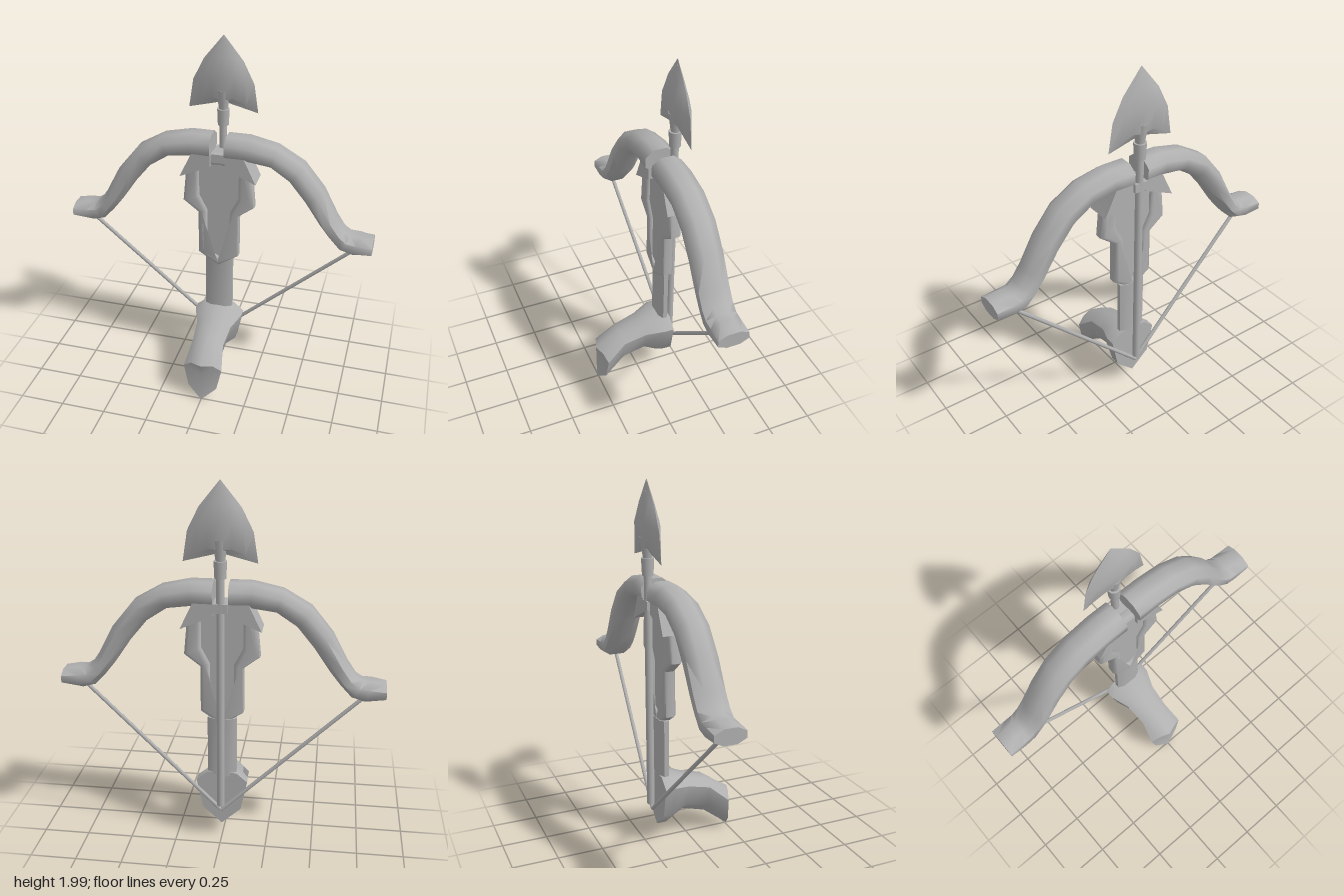
import * as THREE from 'three';
import { toCreasedNormals } from 'three/addons/utils/BufferGeometryUtils.js';

const grey = new THREE.MeshStandardMaterial({ color: 0xb0b0b0 });
grey.name = 'grey';

// Skin a series of equal-length rings, cap both ends, and face the result outward.
function loft(rings, crease) {
  const tris = [];
  const n = rings[0].length;
  for (let i = 0; i < rings.length - 1; i++) {
    for (let j = 0; j < n; j++) {
      const k = (j + 1) % n, a = rings[i], b = rings[i + 1];
      tris.push([a[j], a[k], b[k]], [a[j], b[k], b[j]]);
    }
  }
  [rings[0], rings[rings.length - 1]].forEach((r, end) => {
    const c = [0, 1, 2].map(d => r.reduce((s, p) => s + p[d], 0) / n);
    for (let j = 0; j < n; j++) {
      const k = (j + 1) % n;
      tris.push(end ? [c, r[j], r[k]] : [c, r[k], r[j]]);
    }
  });
  let volume = 0;
  const v = tris.map(t => t.map(p => new THREE.Vector3(...p)));
  v.forEach(([a, b, c]) => { volume += a.dot(b.clone().cross(c)); });
  const pts = v.flatMap(([a, b, c]) => (volume < 0 ? [a, c, b] : [a, b, c]));
  return toCreasedNormals(new THREE.BufferGeometry().setFromPoints(pts), crease);
}

// Outline given for the +x half, mirrored to a closed loop.
function mirrored(half) {
  const other = half.filter(p => p[0] > 0).map(([x, y]) => [-x, y]).reverse();
  return [...half, ...other].map(p => new THREE.Vector2(...p));
}

export function createModel() {
  const model = new THREE.Group();
  model.name = 'crossbow';
  const add = (name, geometry, x = 0, y = 0, z = 0) => {
    const mesh = new THREE.Mesh(geometry, grey);
    mesh.name = name;
    mesh.position.set(x, y, z);
    model.add(mesh);
    return mesh;
  };
  const ARROW_Z = -0.21;

  // Bow limbs: matching points on the outer and inner curves
  const limb = [
    [0.04, 1.49, 0.04, 1.36], [0.16, 1.49, 0.15, 1.362], [0.31, 1.457, 0.28, 1.345],
    [0.455, 1.373, 0.385, 1.275], [0.566, 1.236, 0.475, 1.165], [0.645, 1.087, 0.56, 1.04],
    [0.69, 1.02, 0.615, 0.97], [0.725, 0.998, 0.675, 0.905], [0.77, 0.998, 0.745, 0.885],
    [0.848, 0.982, 0.848, 0.9],
  ];
  // Rounded section: t runs from outer to inner curve, z across the limb
  const section = [[0, -0.035], [0, 0.035], [0.28, 0.083], [0.72, 0.083],
    [1, 0.035], [1, -0.035], [0.72, -0.083], [0.28, -0.083]];
  for (const [side, s] of [['left', 1], ['right', -1]]) {
    add(side + 'Limb', loft(limb.map(([ox, oy, ix, iy]) => section.map(([t, z]) =>
      [s * (ox + (ix - ox) * t), oy + (iy - oy) * t, z - 0.149])), 1.05));

    // Barb hanging below the root of the limb
    const barb = [[0.04, 1.42], [0.04, 1.32], [0.21, 1.245], [0.15, 1.37], [0.13, 1.42]];
    add(side + 'Barb', loft([-0.215, -0.083].map(z =>
      barb.map(([x, y]) => [s * x, y, z])), 0.5));

    // Bowstring
    const path = new THREE.LineCurve3(
      new THREE.Vector3(s * 0.76, 0.91, -0.14), new THREE.Vector3(0, 0.195, -0.2));
    add(side + 'String', new THREE.TubeGeometry(path, 1, 0.011, 8));
  }

  // Rounded frame around a recessed plate
  const outer = [[0, 0.695], [0.115, 0.77], [0.115, 1.025], [0.2, 1.09], [0.185, 1.25], [0.14, 1.39], [0, 1.39]];
  const inner = [[0, 0.752], [0.063, 0.785], [0.063, 1.04], [0.11, 1.13], [0.11, 1.31], [0, 1.325]];
  const frame = new THREE.Shape(mirrored(outer));
  frame.holes.push(new THREE.Path(mirrored(inner)));
  add('frame', toCreasedNormals(new THREE.ExtrudeGeometry(frame, {
    depth: 0.03, bevelThickness: 0.02, bevelSize: 0.02, bevelOffset: -0.02, bevelSegments: 3,
  }), 0.75), 0, 0, -0.152);
  const plate = new THREE.Shape(mirrored(inner.map(([x, y]) => [x * 1.15, y])));
  add('framePlate', new THREE.ExtrudeGeometry(plate, { depth: 0.03, bevelEnabled: false }), 0, 0, -0.152);

  // Bar joining frame and grip
  const bar = [[-0.045, 0.029], [0.045, 0.029], [0.078, 0.012], [0.078, -0.012],
    [0.045, -0.029], [-0.045, -0.029], [-0.078, -0.012], [-0.078, 0.012]];
  add('stockBar', loft([0.3, 0.735].map(y => bar.map(([x, z]) => [x, y, z - 0.146])), 1));

  // Grip: [z at rim, z at centre, top, bottom, half width]
  const gripRows = [
    [-0.175, -0.175, 0.415, 0.095, 0.14], [-0.12, -0.12, 0.415, 0.095, 0.138],
    [-0.02, -0.02, 0.375, 0.16, 0.1], [0.11, 0.115, 0.34, 0.12, 0.09],
    [0.22, 0.258, 0.25, 0.01, 0.11],
  ];
  const shield = [[0, 1], [0.57, 0.99], [1, 0.83], [0.75, 0.3], [0, 0],
    [-0.75, 0.3], [-1, 0.83], [-0.57, 0.99]];
  add('grip', loft(gripRows.map(([zr, zc, top, bottom, w]) => shield.map(([u, t]) =>
    [u * w, bottom + (top - bottom) * t, zc + (zr - zc) * Math.abs(u)])), 0.95));

  // Arrow shaft, collar, head socket and rest
  add('arrowShaft', new THREE.CylinderGeometry(0.021, 0.021, 1.37, 12), 0, 0.915, ARROW_Z);
  add('arrowCollar', new THREE.CylinderGeometry(0.034, 0.03, 0.09, 12), 0, 1.563, ARROW_Z);
  add('headSocket', new THREE.CylinderGeometry(0.04, 0.022, 0.12, 12), 0, 1.655, ARROW_Z);
  add('arrowRest', new THREE.BoxGeometry(0.076, 0.048, 0.13), 0, 1.364, -0.165);

  // Arrowhead: per row the spine, mid and edge points as [x, y, z]
  const headRows = [
    [[0, 1.665, 0.03], [0.06, 1.67, 0.02], [0.125, 1.64, 0.01], [0.187, 1.6, 0]],
    [[0, 1.81, 0.048], [0.06, 1.8, 0.042], [0.115, 1.78, 0.026], [0.163, 1.755, 0]],
    [[0, 1.9, 0.028], [0.04, 1.892, 0.023], [0.075, 1.882, 0.014], [0.105, 1.872, 0]],
    [[0, 2, 0.001], [0.001, 2, 0.001], [0.001, 2, 0.0005], [0.002, 2, 0]],
  ];
  const headRing = ([c, m, n, e]) => {
    const p = ([x, y, z], sx, sz) => [sx * x, y, sz * z];
    return [p(c, 1, 1), p(m, 1, 1), p(n, 1, 1), p(e, 1, 1), p(n, 1, -1), p(m, 1, -1),
      p(c, 1, -1), p(m, -1, -1), p(n, -1, -1), p(e, -1, 1), p(n, -1, 1), p(m, -1, 1)];
  };
  add('arrowHead', loft(headRows.map(headRing), 0.7), 0, 0, ARROW_Z);

  return model;
}
